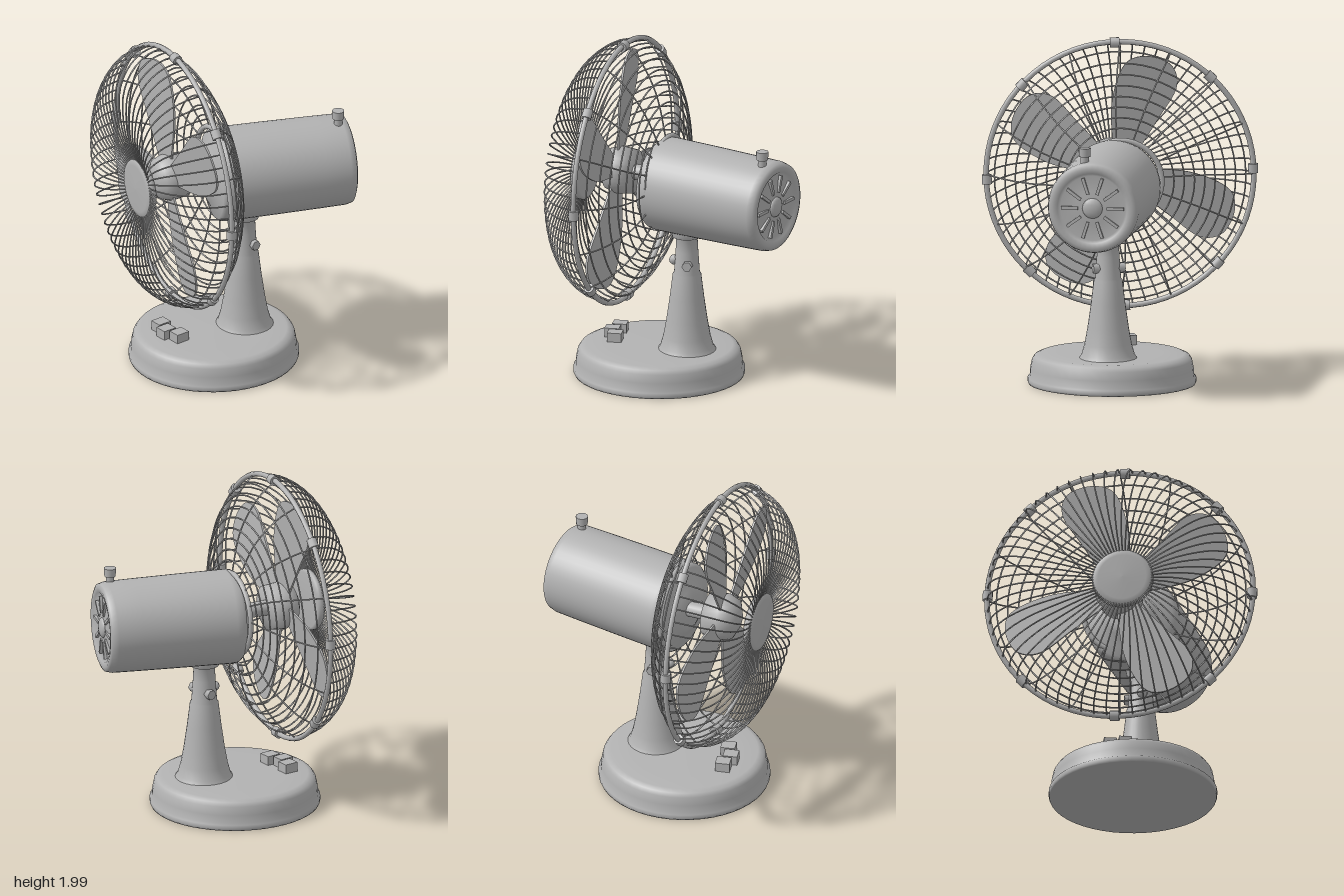
import * as THREE from 'three';

export function createModel() {
  const model = new THREE.Group();
  model.name = 'deskFan';
  const grey = new THREE.MeshStandardMaterial({ color: 0xb2b2b2, side: THREE.DoubleSide });
  grey.name = 'grey paint';

  const add = (parent, name, geo, x = 0, y = 0, z = 0) => {
    const m = new THREE.Mesh(geo, grey);
    m.name = name;
    m.position.set(x, y, z);
    parent.add(m);
    return m;
  };
  const group = (name, x, y, z, yaw) => {
    const g = new THREE.Group();
    g.name = name;
    g.position.set(x, y, z);
    g.rotation.y = yaw;
    model.add(g);
    return g;
  };
  const vec2 = (pts) => pts.map(([r, h]) => new THREE.Vector2(r, h));
  const lathe = (pts, seg = 48) => new THREE.LatheGeometry(vec2(pts), seg);
  // Lathe turned so that its axis runs along +z
  const latheZ = (pts, seg) => lathe(pts, seg).rotateX(Math.PI / 2);
  const cylZ = (r, len, seg = 24) => new THREE.CylinderGeometry(r, r, len, seg).rotateX(Math.PI / 2);

  // Base with a flared foot and softly rounded top edge
  add(model, 'base', lathe([
    [0, 0], [0.485, 0], [0.49, 0.012], [0.49, 0.035], [0.478, 0.045], [0.475, 0.09],
    [0.465, 0.14], [0.45, 0.162], [0.42, 0.175], [0.3, 0.18], [0, 0.185],
  ]).scale(1, 1, 1.02), 0.1, 0, 0.12);

  // Speed buttons
  [[-0.065, 0.38], [0.02, 0.41], [0.105, 0.38]].forEach(([x, z]) => {
    add(model, 'speedButton', new THREE.BoxGeometry(0.075, 0.07, 0.085), x, 0.2, z);
  });

  // Neck and its pivot
  add(model, 'neck', lathe([
    [0.175, 0.17], [0.155, 0.2], [0.138, 0.26], [0.12, 0.36], [0.1, 0.5], [0.083, 0.64],
    [0.075, 0.65], [0.066, 0.78], [0.062, 0.86], [0.085, 0.87], [0.085, 0.92],
  ], 28), 0.165, 0, -0.055);
  const pivot = add(model, 'pivotBolt', new THREE.CylinderGeometry(0.03, 0.03, 0.19, 6), 0.165, 0.71, -0.07);
  pivot.rotation.z = Math.PI / 2;
  add(model, 'tiltKnob', new THREE.SphereGeometry(0.03, 10, 8), 0.165, 0.72, 0.02);

  // Motor housing, lying along its own z axis
  const motor = group('motor', 0.09, 1.16, 0.1, -0.4);
  add(motor, 'motorHousing', latheZ([
    [0, -0.785], [0.1, -0.78], [0.19, -0.77], [0.205, -0.79], [0.235, -0.795], [0.258, -0.785],
    [0.267, -0.75], [0.27, -0.6], [0.274, -0.3], [0.276, -0.04], [0.272, 0],
    [0.255, 0.02], [0.2, 0.03], [0.14, 0.06], [0.1, 0.08], [0, 0.08],
  ]));
  const vents = new THREE.Group();
  vents.name = 'rearVents';
  motor.add(vents);
  for (let i = 0; i < 10; i++) {
    const a = (i / 10) * Math.PI * 2;
    const rib = add(vents, 'ventRib', new THREE.BoxGeometry(0.1, 0.018, 0.02),
      Math.cos(a) * 0.135, Math.sin(a) * 0.135, -0.78);
    rib.rotation.z = a;
  }
  add(vents, 'ventBoss', new THREE.SphereGeometry(0.06, 16, 8).scale(1, 1, 0.4), 0, 0, -0.783);

  // Swing knob on top of the motor
  add(motor, 'swingKnobStem', new THREE.CylinderGeometry(0.025, 0.025, 0.07, 12), 0.055, 0.285, -0.725);
  add(motor, 'swingKnob', new THREE.CylinderGeometry(0.036, 0.034, 0.05, 12), 0.055, 0.32, -0.725);

  // Guard and blades share one centre
  const head = group('head', 0, 1.192, 0.338, -0.222);
  add(head, 'guardRim', new THREE.TorusGeometry(0.778, 0.016, 8, 72));
  for (let i = 0; i < 8; i++) {
    const a = (i * Math.PI) / 4 - 0.04;
    const clip = add(head, 'rimClip', new THREE.CylinderGeometry(0.03, 0.03, 0.055, 10),
      Math.cos(a) * 0.774, Math.sin(a) * 0.774, 0);
    clip.rotation.z = a;
  }

  // Radial wires follow a [radius, depth] profile, swirl a little and lean towards an off-centre middle
  const wires = (name, profile, count, swirl, shift) => {
    const rMax = profile[0][0];
    const rMin = profile[profile.length - 1][0];
    for (let i = 0; i < count; i++) {
      const curve = new THREE.CatmullRomCurve3(profile.map(([r, z]) => {
        const t = (rMax - r) / (rMax - rMin);
        const a = (i / count) * Math.PI * 2 + swirl * t;
        return new THREE.Vector3(r * Math.cos(a) + shift * t, r * Math.sin(a), z);
      }));
      add(head, name, new THREE.TubeGeometry(curve, 16, 0.0048, 5));
    }
  };
  wires('frontWire', [[0.777, 0], [0.755, 0.1], [0.68, 0.2], [0.56, 0.268], [0.4, 0.288], [0.27, 0.278], [0.16, 0.25]],
    64, 0.1, 0.042);
  wires('rearStrut', [[0.777, 0], [0.7, -0.09], [0.58, -0.17], [0.46, -0.22], [0.24, -0.265]], 16, -0.1, 0);

  // Concentric rear hoops carried by the struts
  [[0.73, -0.06], [0.67, -0.115], [0.61, -0.153], [0.55, -0.185], [0.49, -0.21], [0.43, -0.228],
    [0.37, -0.243], [0.31, -0.255]].forEach(([r, z]) => {
    add(head, 'rearHoop', new THREE.TorusGeometry(r, 0.005, 5, 64), 0, 0, z);
  });
  add(head, 'rearCollar', new THREE.TorusGeometry(0.24, 0.016, 8, 40), 0, 0, -0.265);

  // Round cap in the middle of the guard
  add(head, 'frontCap', latheZ([
    [0, 0.21], [0.165, 0.21], [0.18, 0.225], [0.18, 0.245], [0.168, 0.26], [0.14, 0.264], [0, 0.268],
  ], 36), 0.042, -0.008, 0);

  // Shaft and blade hub
  add(head, 'shaft', cylZ(0.045, 0.4), 0, 0, -0.1);
  add(head, 'bladeHub', latheZ([
    [0, -0.06], [0.13, -0.06], [0.14, 0.04], [0.12, 0.1], [0.06, 0.13], [0, 0.135],
  ], 32));

  // Four broad pitched blades
  const outline = new THREE.Shape();
  outline.moveTo(-0.05, 0.1);
  outline.splineThru(vec2([
    [-0.12, 0.36], [-0.17, 0.57], [-0.1, 0.69], [0.06, 0.7], [0.165, 0.61], [0.165, 0.37], [0.07, 0.1],
  ]));
  outline.closePath();
  const blade = new THREE.ExtrudeGeometry(outline, { depth: 0.012, bevelEnabled: false, curveSegments: 28 });
  const p = blade.attributes.position;
  for (let i = 0; i < p.count; i++) p.setZ(i, p.getZ(i) + 0.035 - p.getX(i) * 0.14);
  blade.computeVertexNormals();
  [32, 107, 203, 298].forEach((deg) => {
    add(head, 'blade', blade).rotation.z = THREE.MathUtils.degToRad(deg - 90);
  });

  return model;
}
